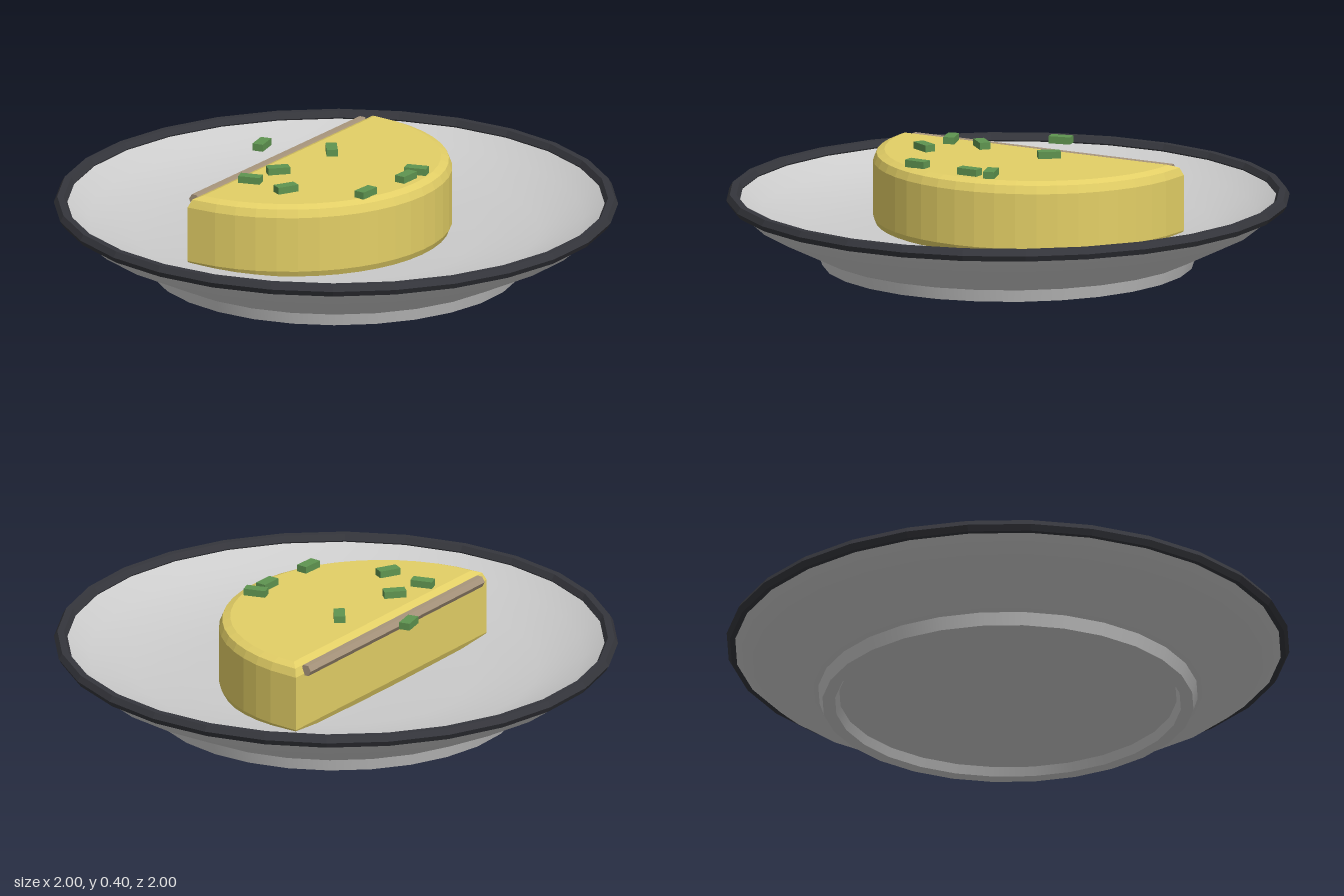
import * as THREE from 'three';

const GREY = 0xcccccc, DARK = 0x35363c, YELLOW = 0xe3cf66, CRUST = 0xa8957c, GREEN = 0x5f9450;
const SIDES = 28;
const TILT = 0.31; // turn of the omelette on the plate

const mat = (color, flat = false) =>
  new THREE.MeshStandardMaterial({ color, flatShading: flat, side: THREE.DoubleSide });

function mesh(name, geometry, material) {
  const m = new THREE.Mesh(geometry, material);
  m.name = name;
  return m;
}

// Ring surface turned from a short profile of [radius, height]
function turned(name, profile, material) {
  const pts = profile.map(([r, y]) => new THREE.Vector2(r, y));
  return mesh(name, new THREE.LatheGeometry(pts, SIDES), material);
}

function createPlate() {
  const plate = new THREE.Group();
  plate.name = 'plate';
  const grey = mat(GREY);
  plate.add(
    turned('plateBase', [[0, 0.03], [0.6, 0.03]], grey),
    turned('footInside', [[0.6, 0.03], [0.615, 0]], grey),
    turned('footBottom', [[0.615, 0], [0.66, 0]], grey),
    turned('footOutside', [[0.66, 0], [0.675, 0.045]], grey),
    turned('plateUnderside', [[0.675, 0.045], [0.9, 0.155], [0.985, 0.23]], grey),
    turned('plateInside', [[0.975, 0.245], [0.88, 0.185], [0.72, 0.14], [0.5, 0.115], [0, 0.105]], grey)
  );
  // Dark rim
  const rim = mesh('plateRim', new THREE.TorusGeometry(0.977, 0.024, 6, SIDES), mat(DARK, true));
  rim.rotation.x = -Math.PI / 2;
  rim.position.y = 0.238;
  plate.add(rim);
  return plate;
}

function createOmelette() {
  const omelette = new THREE.Group();
  omelette.name = 'omelette';

  // Half-round body with a rounded edge
  const shape = new THREE.Shape();
  shape.absarc(0, 0, 0.54, Math.PI, Math.PI * 2, false);
  shape.closePath();
  const bevel = 0.04;
  const body = new THREE.ExtrudeGeometry(shape, {
    depth: 0.2, curveSegments: 12,
    bevelEnabled: true, bevelSize: bevel, bevelThickness: bevel, bevelSegments: 2
  });
  body.rotateX(-Math.PI / 2);
  body.translate(0, 0.375 - 0.2 - bevel, 0.06);
  omelette.add(mesh('omeletteBody', body, mat(YELLOW)));

  // Browned seam along the straight back edge
  const seam = new THREE.CylinderGeometry(0.022, 0.022, 1.06, 6);
  seam.rotateZ(Math.PI / 2);
  seam.translate(0, 0.348, 0.015);
  omelette.add(mesh('foldSeam', seam, mat(CRUST, true)));

  omelette.position.set(-0.08, 0, -0.25);
  omelette.rotation.y = TILT;
  return omelette;
}

// Chopped chives: x, z, turn in degrees
const CHIVES = [
  [-0.08, -0.325, 30], [-0.35, -0.045, -55], [-0.21, -0.065, -25], [0.078, -0.125, 55],
  [-0.315, 0.115, -10], [0.1, 0.275, 17], [0.175, 0.24, -55], [-0.12, 0.325, 15]
];

function createChives() {
  const chives = new THREE.Group();
  chives.name = 'chives';
  const geometry = new THREE.BoxGeometry(0.08, 0.026, 0.04);
  const green = mat(GREEN, true);
  for (const [x, z, deg] of CHIVES) {
    const piece = mesh('chivePiece', geometry, green);
    piece.position.set(x, 0.387, z);
    piece.rotation.y = THREE.MathUtils.degToRad(deg);
    chives.add(piece);
  }
  return chives;
}

export function createModel() {
  const model = new THREE.Group();
  model.name = 'omeletteOnPlate';
  model.add(createPlate(), createOmelette(), createChives());
  return model;
}
